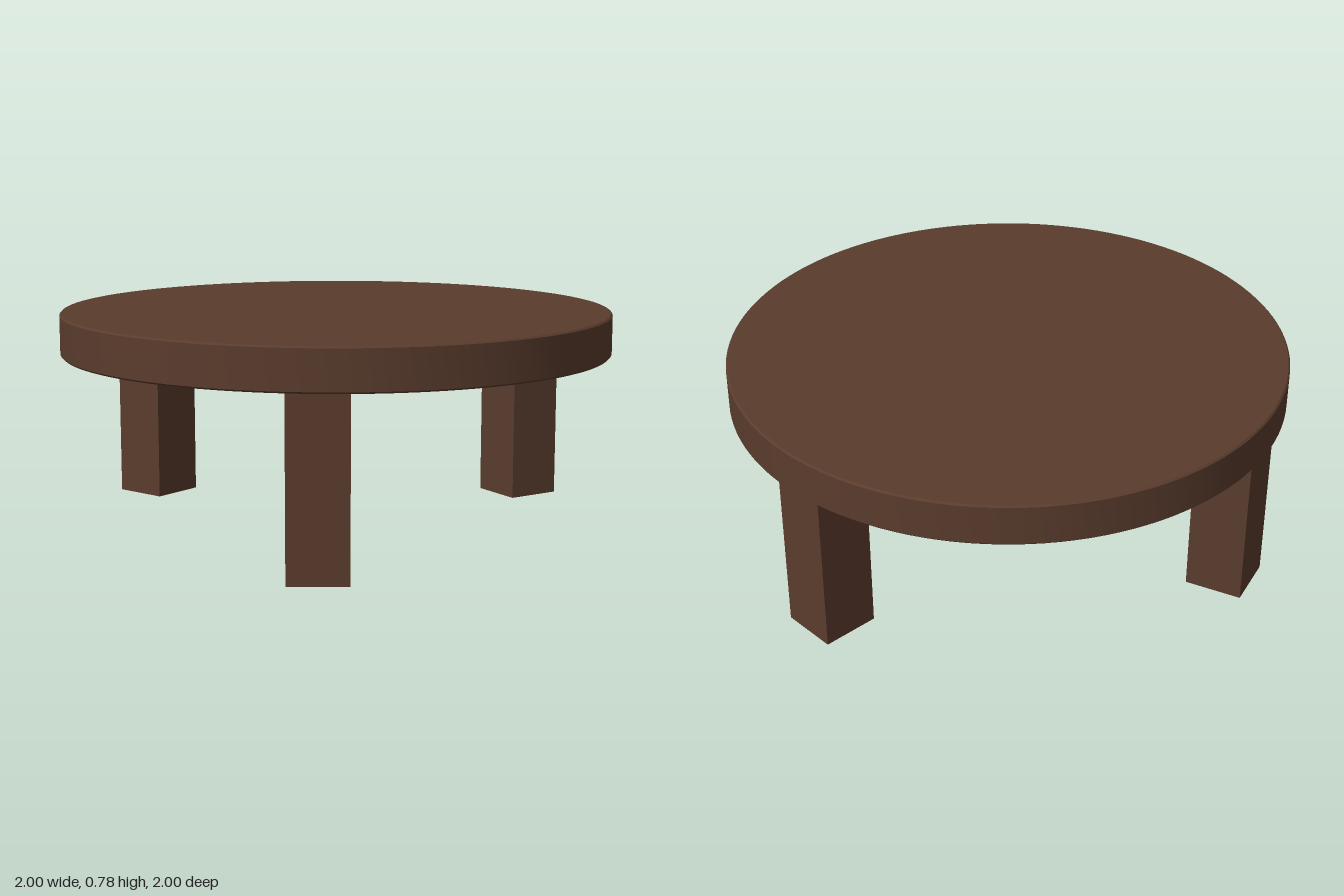
import * as THREE from 'three';
import { toCreasedNormals } from 'three/addons/utils/BufferGeometryUtils.js';

export function createModel() {
  const group = new THREE.Group();
  const wood = new THREE.MeshStandardMaterial({ color: 0x5a3c2d });
  const under = 0.63, top = 0.78, bevel = 0.006;

  // Round top with a very fine softened rim
  const profile = [
    [0, under], [1 - bevel, under], [1, under + bevel],
    [1, top - bevel], [1 - bevel, top], [0, top],
  ].map(([r, y]) => new THREE.Vector2(r, y));
  const tabletop = new THREE.Mesh(toCreasedNormals(new THREE.LatheGeometry(profile, 128), 0.5), wood);
  tabletop.name = 'tabletop';
  group.add(tabletop);

  // Three square legs: x, z, turn in degrees so one face points outward
  const legs = [
    ['frontLeftLeg', 0.642, 0.568, 38],
    ['rightLeg', -0.806, 0.273, 166],
    ['backLeg', 0.09, -0.843, -84.7],
  ];
  const legGeometry = new THREE.BoxGeometry(0.208, under, 0.208);
  for (const [name, x, z, turn] of legs) {
    const leg = new THREE.Mesh(legGeometry, wood);
    leg.name = name;
    leg.position.set(x, under / 2, z);
    leg.rotation.y = -THREE.MathUtils.degToRad(turn);
    group.add(leg);
  }
  return group;
}
